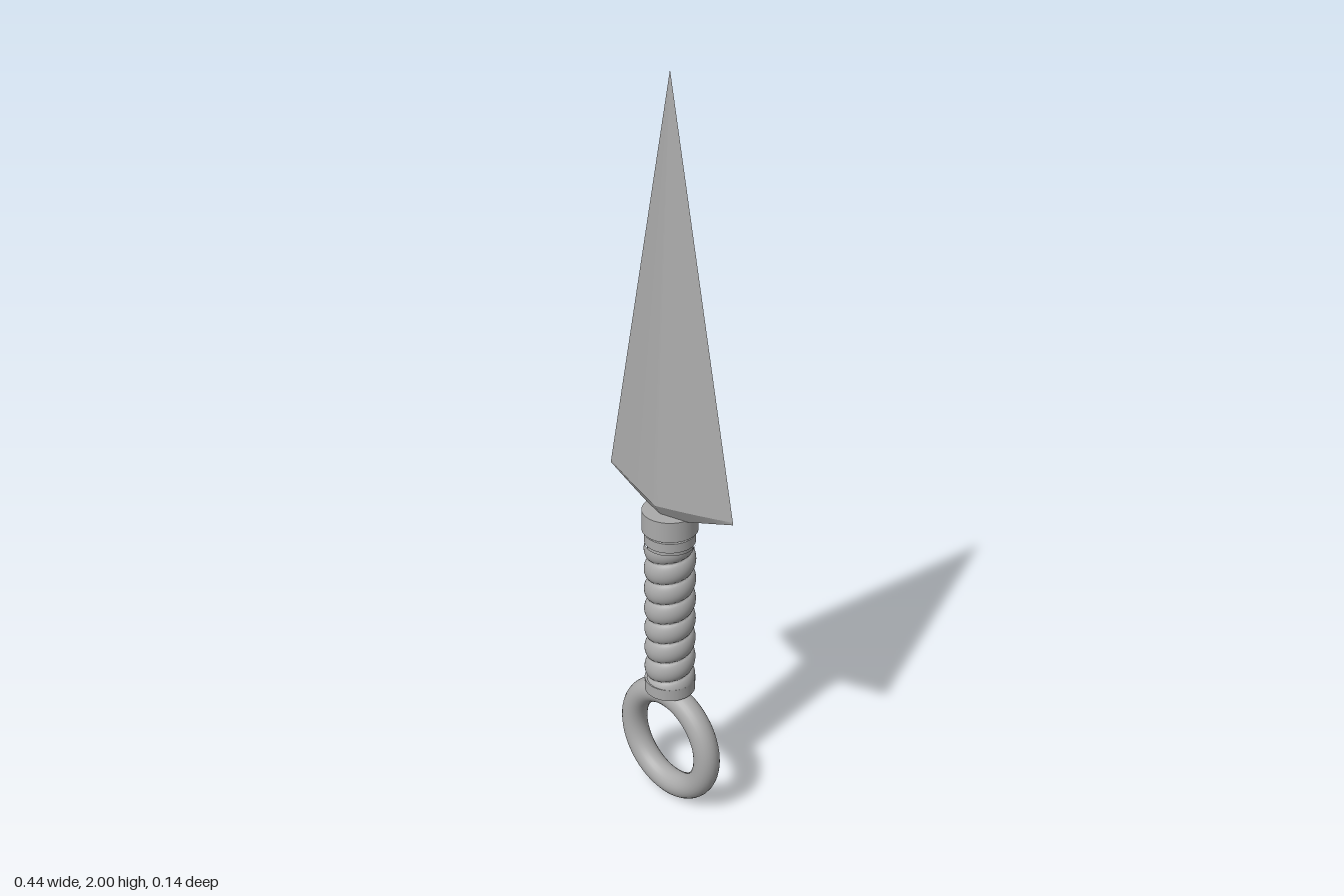
import * as THREE from 'three';

export function createModel() {
  const steel = new THREE.MeshStandardMaterial({ color: 0xaaaaaa });
  steel.name = 'grey steel';
  const group = new THREE.Group();
  const add = (name, geometry, y = 0) => {
    const mesh = new THREE.Mesh(geometry, steel);
    mesh.name = name;
    mesh.position.y = y;
    group.add(mesh);
  };

  // A ruled sheet between rows of points, facing side * z
  const sheet = (point, nu, nv, side) => {
    const pos = [], index = [];
    for (let j = 0; j <= nv; j++) {
      for (let i = 0; i <= nu; i++) {
        const [x, y, z] = point(-1 + 2 * i / nu, j / nv);
        pos.push(x, y, z * side);
      }
    }
    for (let j = 0; j < nv; j++) {
      for (let i = 0; i < nu; i++) {
        const a = j * (nu + 1) + i, b = a + 1, c = a + nu + 1, d = c + 1;
        if (side > 0) index.push(a, b, c, b, d, c);
        else index.push(a, c, b, b, c, d);
      }
    }
    const g = new THREE.BufferGeometry();
    g.setAttribute('position', new THREE.Float32BufferAttribute(pos, 3));
    g.setIndex(index);
    g.computeVertexNormals();
    return g;
  };

  // Blade: long tapering faces, and a bevel closing the underside
  const halfDepth = (u) => 0.051 * (1 - Math.abs(u)) + 0.003 * Math.sin(Math.PI * Math.abs(u));
  const rimY = (u) => 0.915 + 0.025 * Math.abs(u);
  const bladeFace = (u, t) => [
    0.222 * u * (1 - t),
    rimY(u) + (2 - rimY(u)) * t,
    halfDepth(u) * (1 - t),
  ];
  const bladeBevel = (u, t) => {
    const lowY = 0.86 + 0.073 * Math.abs(u);
    return [
      0.222 * u,
      lowY + (rimY(u) - lowY) * t,
      halfDepth(u) * (0.35 + 0.65 * t),
    ];
  };
  const bladeBase = (u, t) => [0.222 * u, 0.86 + 0.073 * Math.abs(u), halfDepth(u) * 0.35 * t];
  for (const side of [1, -1]) {
    const label = side > 0 ? 'Front' : 'Back';
    add('blade' + label, sheet(bladeFace, 24, 16, side));
    add('bladeBevel' + label, sheet(bladeBevel, 24, 2, side));
    add('bladeBase' + label, sheet(bladeBase, 24, 1, side));
  }

  // Collar and the plain bands at both ends of the grip
  const band = (name, radius, low, high) =>
    add(name, new THREE.CylinderGeometry(radius, radius, high - low, 48), (low + high) / 2);
  band('collar', 0.072, 0.83, 0.886);
  band('neck', 0.058, 0.77, 0.84);
  band('upperBand', 0.066, 0.796, 0.822);
  band('lowerBand', 0.067, 0.345, 0.378);

  // Cord wrapping: a cylinder swelling along a rising helix
  const low = 0.37, high = 0.79, pitch = 0.06;
  const wrap = new THREE.CylinderGeometry(1, 1, high - low, 48, 112, true);
  const p = wrap.attributes.position;
  for (let i = 0; i < p.count; i++) {
    const turn = Math.atan2(p.getX(i), p.getZ(i)) / (2 * Math.PI);
    const phase = (p.getY(i) + 0.01) / pitch - turn;
    const r = 0.053 + 0.014 * Math.sqrt(Math.abs(Math.sin(Math.PI * phase)));
    p.setXYZ(i, p.getX(i) * r, p.getY(i), p.getZ(i) * r);
  }
  wrap.computeVertexNormals();
  add('gripWrapping', wrap, (low + high) / 2);

  // Pommel ring
  add('pommelRing', new THREE.TorusGeometry(0.142, 0.035, 24, 64), 0.177);

  return group;
}
